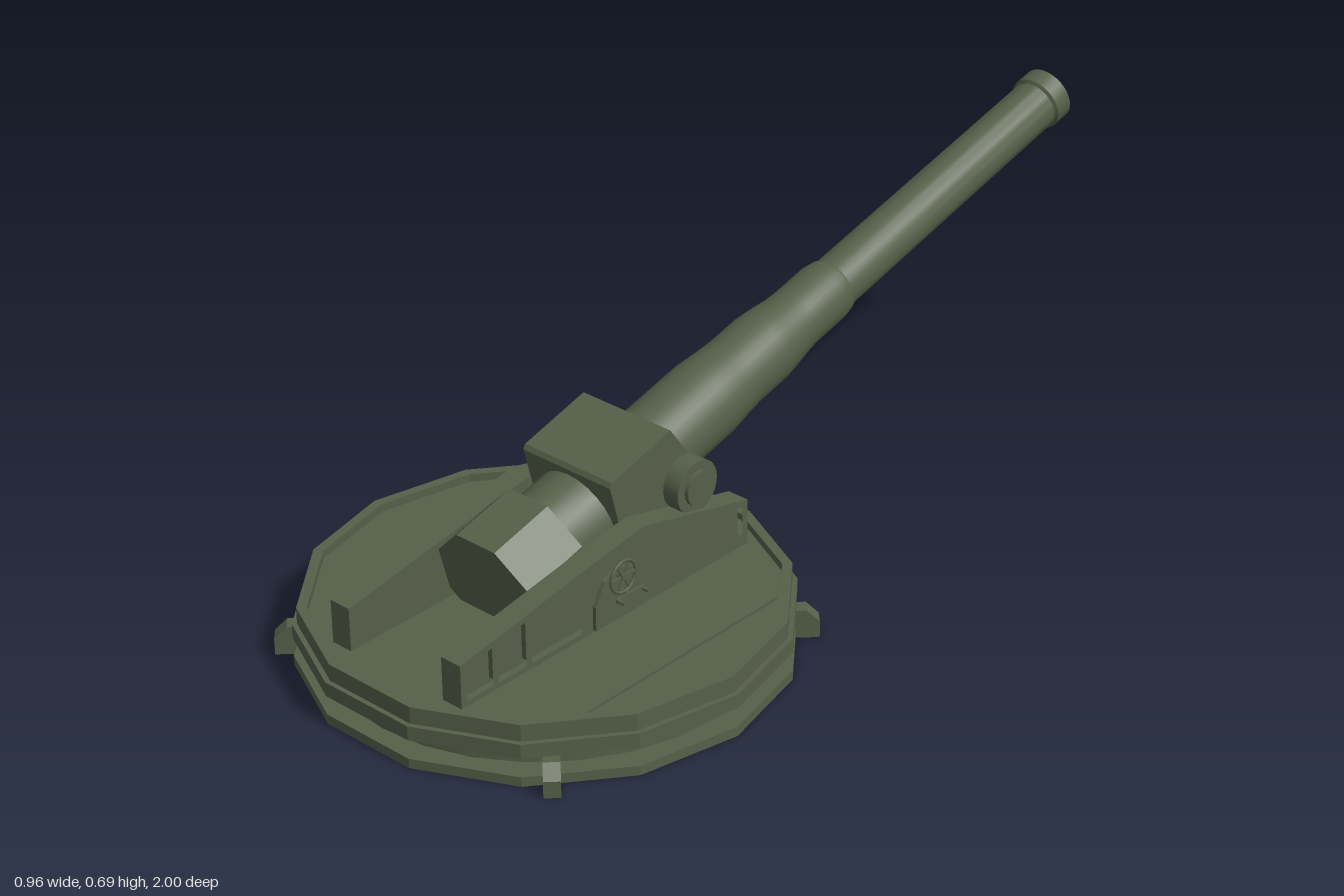
import * as THREE from 'three';
import { toCreasedNormals } from 'three/addons/utils/BufferGeometryUtils.js';

const CZ = 0.53;      // centre of the turntable
const DECK = 0.112;   // floor inside the rim

export function createModel() {
  const olive = new THREE.MeshStandardMaterial({ color: 0x566049 });
  olive.name = 'olive paint';
  const model = new THREE.Group();
  model.name = 'siegeGun';

  const add = (name, geo, parent = model) => {
    const m = new THREE.Mesh(geo, olive);
    m.name = name;
    parent.add(m);
    return m;
  };
  const box = (name, w, h, d, x, y, z, parent) =>
    add(name, new THREE.BoxGeometry(w, h, d).translate(x, y, z), parent);
  const path = (pts, Type = THREE.Shape) => new Type(pts.map(([z, y]) => new THREE.Vector2(-z, y)));
  // Side profile given as [z, y] points, extruded from x0 to x1 and placed on either side
  const slab = (shape, x0, x1, side = 1) =>
    new THREE.ExtrudeGeometry(shape, { depth: x1 - x0, bevelEnabled: false, curveSegments: 16 })
      .rotateY(Math.PI / 2).translate(side > 0 ? x0 : -x1, 0, 0);
  const axleX = (r, x0, x1, side, y, z, seg = 20) =>
    toCreasedNormals(new THREE.CylinderGeometry(r, r, x1 - x0, seg), 0.6)
      .rotateZ(Math.PI / 2).translate(side * (x0 + x1) / 2, y, z);

  // Fourteen-sided turntable
  const disc = (name, r, y0, y1) => add(name,
    toCreasedNormals(new THREE.CylinderGeometry(r, r, y1 - y0, 14), 0.1)
      .rotateY(Math.PI / 2).translate(0, (y0 + y1) / 2, CZ));
  disc('groundPlate', 0.48, 0, 0.02);
  add('turntableNeck', toCreasedNormals(new THREE.CylinderGeometry(0.432, 0.432, 0.04, 28), 0.5)
    .translate(0, 0.04, CZ));
  disc('turntableRing', 0.48, 0.06, 0.09);
  disc('deckFloor', 0.452, 0.09, DECK - 0.004);
  const rim = [[0.45, 0.09], [0.47, 0.09], [0.47, 0.125], [0.45, 0.125], [0.45, 0.09]];
  add('deckRim', toCreasedNormals(new THREE.LatheGeometry(
    rim.map(([r, y]) => new THREE.Vector2(r, y)), 14), 0.1)
    .rotateY(Math.PI / 2).translate(0, 0, CZ));

  // Raised middle planking, cut to the rim
  const plank = [[0.34, 0.27], [0.28, 0.348], [0.1, 0.436], [-0.1, 0.436], [-0.28, 0.348], [-0.34, 0.27]];
  const plankPts = [...plank, ...plank.map(([x, z]) => [-x, -z])];
  add('deckPlanking', new THREE.ExtrudeGeometry(
    new THREE.Shape(plankPts.map(([x, z]) => new THREE.Vector2(x, z))), { depth: 0.012, bevelEnabled: false })
    .rotateX(-Math.PI / 2).translate(0, DECK - 0.01, CZ));

  // Four clips around the base
  for (let i = 0; i < 4; i++) {
    const clip = add('baseClip', slab(path(
      [[0.42, 0], [0.515, 0], [0.515, 0.035], [0.49, 0.06], [0.42, 0.06]]), -0.016, 0.016));
    clip.position.z = CZ;
    clip.rotation.y = Math.PI / 4 + i * Math.PI / 2;
  }

  // Carriage cheeks with ribbed outer frames, trunnion bearings and handwheels
  const outline = [[0.92, 0.1], [0.92, 0.205], [0.55, 0.265], [0.44, 0.28], [0.15, 0.21], [0.15, 0.1]];
  const cells = [
    [[0.905, 0.125], [0.905, 0.195], [0.84, 0.205], [0.84, 0.125]],
    [[0.825, 0.125], [0.825, 0.208], [0.755, 0.219], [0.755, 0.125]],
    [[0.74, 0.125], [0.74, 0.221], [0.61, 0.242], [0.61, 0.125]],
    [[0.418, 0.258], [0.165, 0.199], [0.165, 0.14], [0.345, 0.14]],
  ];
  for (const s of [1, -1]) {
    const cheek = new THREE.Group();
    cheek.name = s > 0 ? 'leftCheek' : 'rightCheek';
    model.add(cheek);
    add('cheekPlate', slab(path(outline), 0.12, 0.142, s), cheek);
    const frame = path(outline);
    frame.holes = cells.map(c => path(c, THREE.Path));
    add('cheekFrame', slab(frame, 0.142, 0.168, s), cheek);

    // Bearing block and trunnion cap
    add('trunnionBearing', axleX(0.055, 0.12, 0.157, s, 0.29, 0.28, 24), cheek);
    add('trunnionEnd', axleX(0.036, 0.1, 0.166, s, 0.29, 0.28), cheek);

    // Arched gear housing
    add('gearHousing', slab(path([[0.58, 0.12], [0.58, 0.17], [0.555, 0.215], [0.515, 0.23],
      [0.475, 0.215], [0.45, 0.17], [0.45, 0.12]]), 0.16, 0.176, s), cheek);

    // Spoked handwheel
    const wheel = new THREE.Group();
    wheel.name = 'handwheel';
    wheel.position.set(s * 0.185, 0.213, 0.515);
    wheel.rotation.y = Math.PI / 2;
    cheek.add(wheel);
    add('wheelRim', new THREE.TorusGeometry(0.033, 0.0035, 6, 20), wheel);
    for (let i = 0; i < 3; i++)
      box('wheelSpoke', 0.066, 0.005, 0.004, 0, 0, 0, wheel).rotation.z = i * Math.PI / 3;
    add('wheelAxle', axleX(0.007, 0.165, 0.19, s, 0.213, 0.515, 10), cheek);

    // Two-handled crank
    add('crankAxle', axleX(0.005, 0.165, 0.198, s, 0.177, 0.51, 8), cheek);
    box('crankArm', 0.005, 0.008, 0.07, s * 0.196, 0.177, 0.51, cheek);
    for (const z of [0.478, 0.542])
      add('crankHandle', axleX(0.004, 0.194, 0.215, s, 0.177, z, 8), cheek);
  }
  box('frontTransom', 0.25, 0.08, 0.03, 0, 0.15, 0.17);

  // Elevated gun: barrel runs along local -z from the trunnion
  const gun = new THREE.Group();
  gun.name = 'gun';
  gun.position.set(0, 0.29, 0.28);
  gun.rotation.x = THREE.MathUtils.degToRad(15);
  model.add(gun);

  // Stepped barrel and bore: [radius, distance from trunnion]
  const profile = [[0, -0.1], [0.084, -0.1], [0.084, 0.2], [0.079, 0.25], [0.076, 0.29], [0.076, 0.37],
    [0.073, 0.40], [0.066, 0.45], [0.064, 0.48], [0.064, 0.565], [0.06, 0.59], [0.055, 0.595],
    [0.053, 1.265], [0.059, 1.27], [0.059, 1.31], [0.044, 1.31], [0.04, 1.29], [0.04, 1.1], [0, 1.1]];
  add('barrel', toCreasedNormals(new THREE.LatheGeometry(
    profile.map(([r, t]) => new THREE.Vector2(r, t)), 32), 0.6).rotateX(-Math.PI / 2), gun);

  // Square cradle block with sloped front
  add('cradle', slab(path([[0.168, 0.108], [0.16, 0.116], [-0.006, 0.118], [-0.027, 0.062],
    [-0.063, -0.074], [-0.02, -0.11], [0.16, -0.11], [0.168, -0.1]]), -0.112, 0.112), gun);

  // Octagonal breech and its neck
  add('breechNeck', toCreasedNormals(new THREE.CylinderGeometry(0.095, 0.095, 0.14, 24), 0.6)
    .rotateX(Math.PI / 2).translate(0, 0, 0.22), gun);
  add('breech', toCreasedNormals(new THREE.CylinderGeometry(0.1277, 0.1277, 0.145, 8), 0.3)
    .rotateY(Math.PI / 8).rotateX(Math.PI / 2).translate(0, 0, 0.342), gun);

  return model;
}
